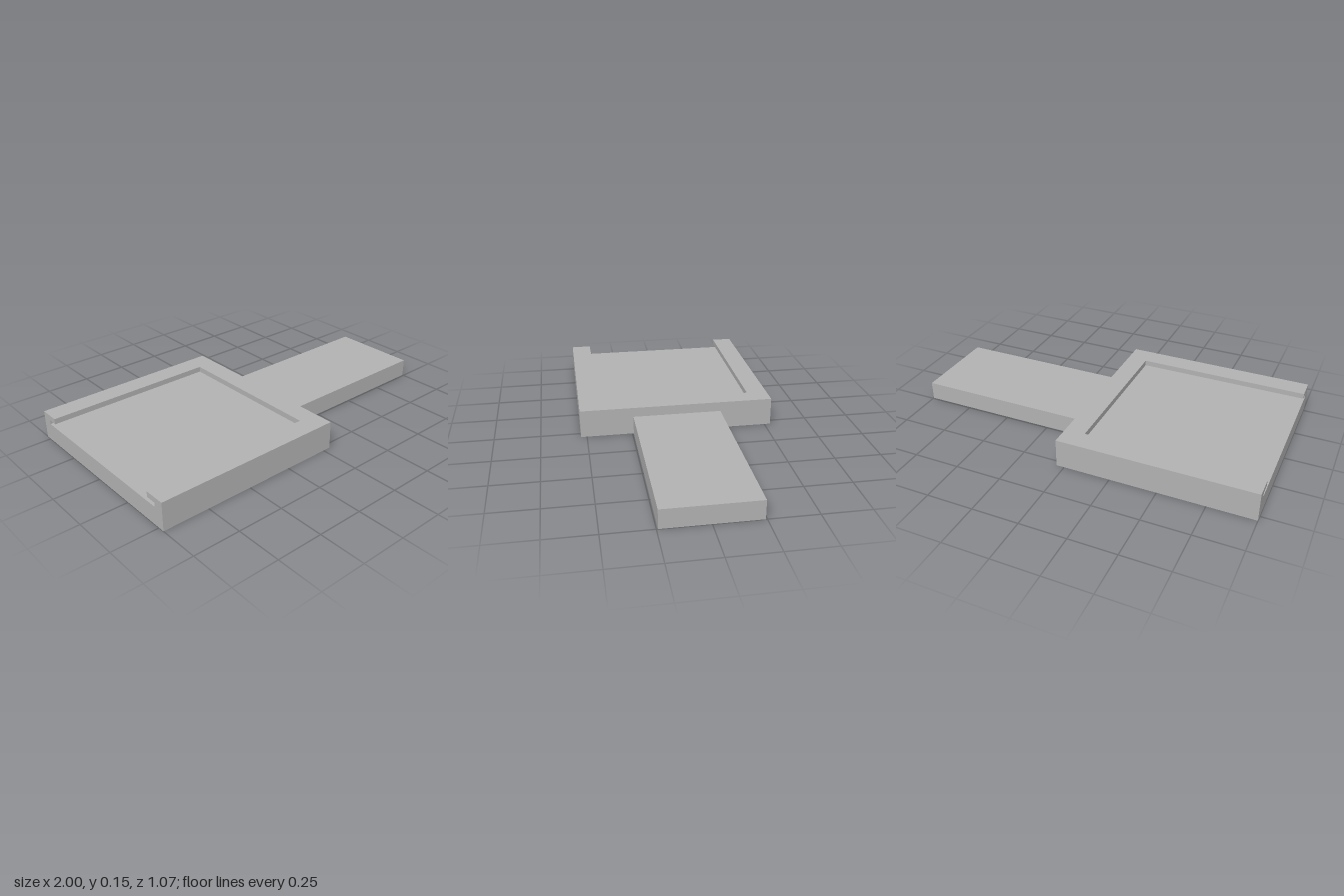
import * as THREE from 'three';

const grey = new THREE.MeshStandardMaterial({ color: 0xb2b2b2 });
grey.name = 'plain grey';

// Extrude a plan outline of [x, z] points upward from y0 to y1
function slab(name, points, y0, y1) {
  const shape = new THREE.Shape(points.map(([x, z]) => new THREE.Vector2(x, -z)));
  const geometry = new THREE.ExtrudeGeometry(shape, { depth: y1 - y0, bevelEnabled: false });
  geometry.rotateX(-Math.PI / 2).translate(0, y0, 0);
  const mesh = new THREE.Mesh(geometry, grey);
  mesh.name = name;
  return mesh;
}

export function createModel() {
  const group = new THREE.Group();
  group.name = 'slottedTrayWithTongue';

  const back = -1, end = 0.043, tip = 1;    // x stations
  const half = 0.533, tongueHalf = 0.243;   // half widths in z
  const floorY = 0.1, lipY = 0.123, topY = 0.153;

  // Tray floor and tongue share one T-shaped plate
  group.add(slab('floorAndTongue', [
    [back, half], [end, half], [end, tongueHalf], [tip, tongueHalf],
    [tip, -tongueHalf], [end, -tongueHalf], [end, -half], [back, -half],
  ], 0, floorY));

  // U-shaped rim, open toward -x
  const rim = (innerX, innerZ) => [
    [back, half], [end, half], [end, -half], [back, -half],
    [back, -innerZ], [innerX, -innerZ], [innerX, innerZ], [back, innerZ],
  ];

  // The wall is thinner than the lip above it, leaving an undercut slot
  group.add(slab('slotWall', rim(-0.012, 0.477), floorY, lipY));
  group.add(slab('overhangingLip', rim(-0.065, 0.42), lipY, topY));

  return group;
}
